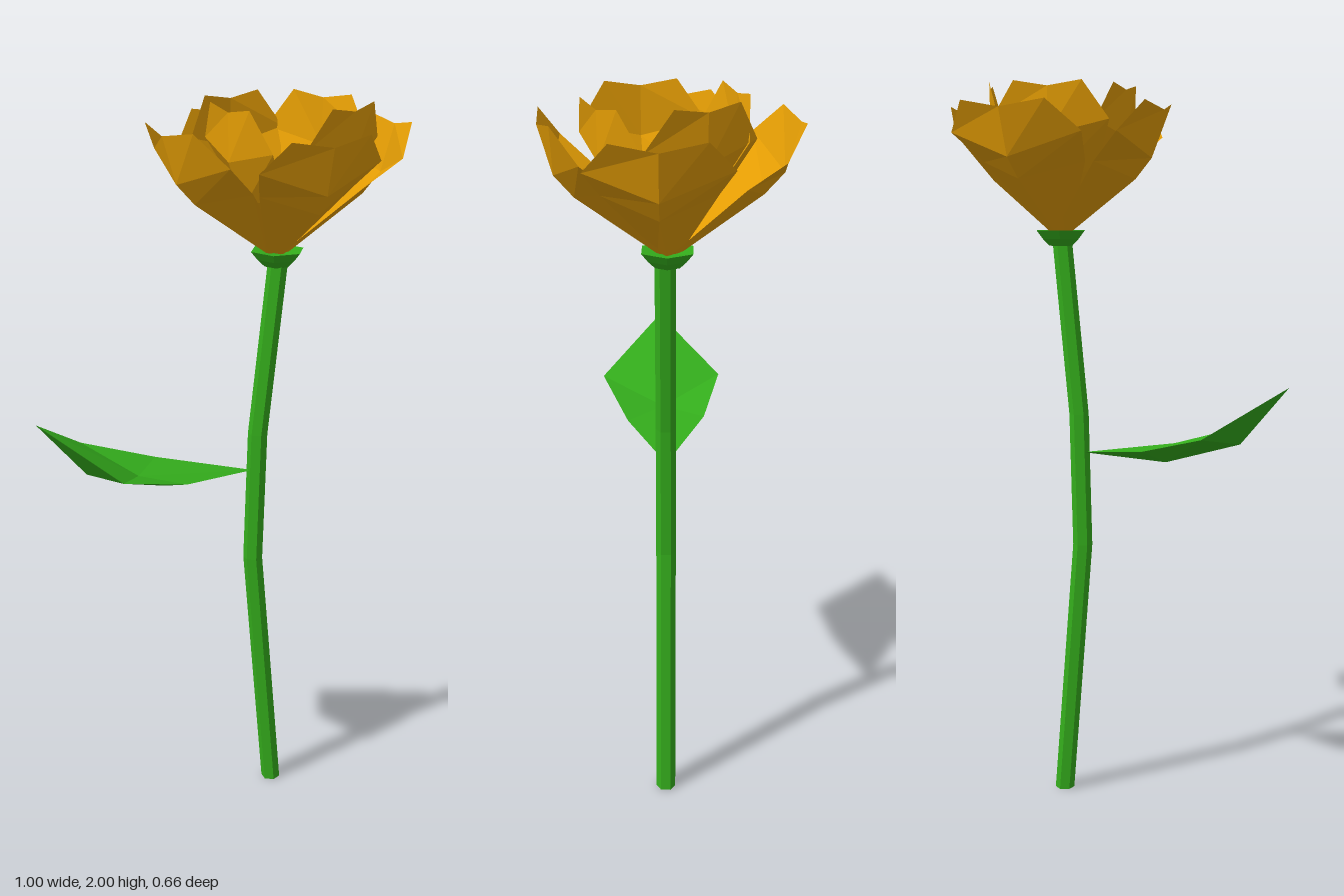
import * as THREE from 'three';

// Surface through rows of points, each row holding the same number of [x, y, z]
function loft(rows) {
  const n = rows[0].length, index = [];
  for (let i = 0; i < rows.length - 1; i++) {
    for (let j = 0; j < n - 1; j++) {
      const a = i * n + j, b = a + 1, c = a + n, d = c + 1;
      index.push(a, c, b, b, c, d);
    }
  }
  const g = new THREE.BufferGeometry();
  g.setAttribute('position', new THREE.Float32BufferAttribute(rows.flat(2), 3));
  g.setIndex(index);
  return finish(g);
}

function finish(indexed) {
  const g = indexed.toNonIndexed();
  g.computeVertexNormals();
  return g;
}

// Cupped petal facing angle a; row = [halfWidth, sideReach, sideY, middleReach, middleY].
// skew swings one side outward, reach scales the spread, shift slides it sideways.
function petal(rows, { a, skew = 0, reach = 1, shift = 0 }) {
  const c = Math.cos(a), s = Math.sin(a);
  const at = (u, r, y) => {
    const out = r * reach + skew * u, side = u + shift * Math.min(1, r / 0.1);
    return [0.178 + c * out - s * side, y, s * out + c * side];
  };
  return loft(rows.map(([w, rs, ys, rm, ym]) => [at(-w, rs, ys), at(0, rm, ym), at(w, rs, ys)]));
}

export function createModel() {
  const group = new THREE.Group();
  const material = (name, color) => {
    const m = new THREE.MeshStandardMaterial({ color, side: THREE.DoubleSide, flatShading: true });
    m.name = name;
    return m;
  };
  const green = material('leaf green', 0x34ad1c);
  const orange = material('petal orange', 0xe49d04);
  const add = (name, geometry, mat) => {
    const mesh = new THREE.Mesh(geometry, mat);
    mesh.name = name;
    group.add(mesh);
    return mesh;
  };

  // Bent six-sided stem
  const ring = ([x, y]) => Array.from({ length: 7 }, (_, i) => {
    const a = (i + 0.5) * Math.PI / 3;
    return [x + 0.027 * Math.cos(a), y, 0.011 + 0.027 * Math.sin(a)];
  });
  const path = [[0.177, 0], [0.113, 0.73], [0.124, 1.1], [0.177, 1.58]];
  add('stem', loft(path.map(ring)), green);
  const cap = add('stemEnd', new THREE.CircleGeometry(0.027, 6, Math.PI / 6), green);
  cap.rotation.x = Math.PI / 2;
  cap.position.set(0.177, 0, 0.011);

  // Calyx under the bloom
  const cup = [[0.001, 1.565], [0.036, 1.566], [0.056, 1.585], [0.075, 1.608], [0.02, 1.6]];
  const calyx = add('calyx', new THREE.LatheGeometry(cup.map(p => new THREE.Vector2(...p)), 6), green);
  calyx.rotation.y = Math.PI / 2;
  calyx.position.set(0.177, 0, 0.005);

  // Leaf: folded upper face and keeled underside
  const leafPoints = [
    [0.11, 0.993, 0.01],     // 0 base
    [-0.12, 1.022, 0.122],   // 1 front edge, inner
    [-0.32, 1.08, 0.2],      // 2 front edge, outer
    [-0.505, 1.208, 0.04],   // 3 tip
    [-0.34, 1.08, -0.135],   // 4 back edge, outer
    [-0.14, 1.028, -0.092],  // 5 back edge, inner
    [-0.225, 1.025, 0.025],  // 6 upper fold
    [-0.15, 0.985, 0.02],    // 7 keel, inner
    [-0.37, 1.05, 0.03],     // 8 keel, outer
  ];
  const leaf = new THREE.BufferGeometry();
  leaf.setAttribute('position', new THREE.Float32BufferAttribute(leafPoints.flat(), 3));
  leaf.setIndex([
    0, 6, 1, 1, 6, 2, 2, 6, 3, 3, 6, 4, 4, 6, 5, 5, 6, 0,
    0, 1, 7, 1, 2, 7, 2, 8, 7, 2, 3, 8, 3, 4, 8, 4, 7, 8, 4, 5, 7, 5, 0, 7,
  ]);
  add('leaf', finish(leaf), green);

  // Four wide outer petals
  const outer = [
    [0.03, 0.0, 1.605, 0.03, 1.6],
    [0.142, 0.16, 1.79, 0.235, 1.745],
    [0.18, 0.245, 1.865, 0.285, 1.8],
    [0.115, 0.305, 1.945, 0.322, 1.925],
  ];
  [
    { a: 0, skew: 0.08, shift: 0.02 },
    { a: Math.PI / 2, skew: 0.2, shift: -0.015 },
    { a: Math.PI, skew: 0.22, shift: -0.012 },
    { a: -Math.PI / 2, skew: 0.2, shift: -0.025 },
  ].forEach((o, i) => add('outerPetal' + (i + 1), petal(outer, o), orange));

  // Four steeper inner petals
  const inner = [
    [0.03, -0.012, 1.612, 0.01, 1.605],
    [0.115, 0.08, 1.77, 0.125, 1.75],
    [0.16, 0.15, 1.9, 0.178, 1.86],
    [0.092, 0.176, 2.0, 0.18, 1.985],
  ];
  [
    { a: 1.03, reach: 1.2, shift: -0.03 },
    { a: 2.94, shift: -0.04 },
    { a: -1.92, shift: -0.01 },
    { a: -0.57, reach: 1.05, shift: 0.01 },
  ].forEach((o, i) => add('innerPetal' + (i + 1), petal(inner, o), orange));

  return group;
}
